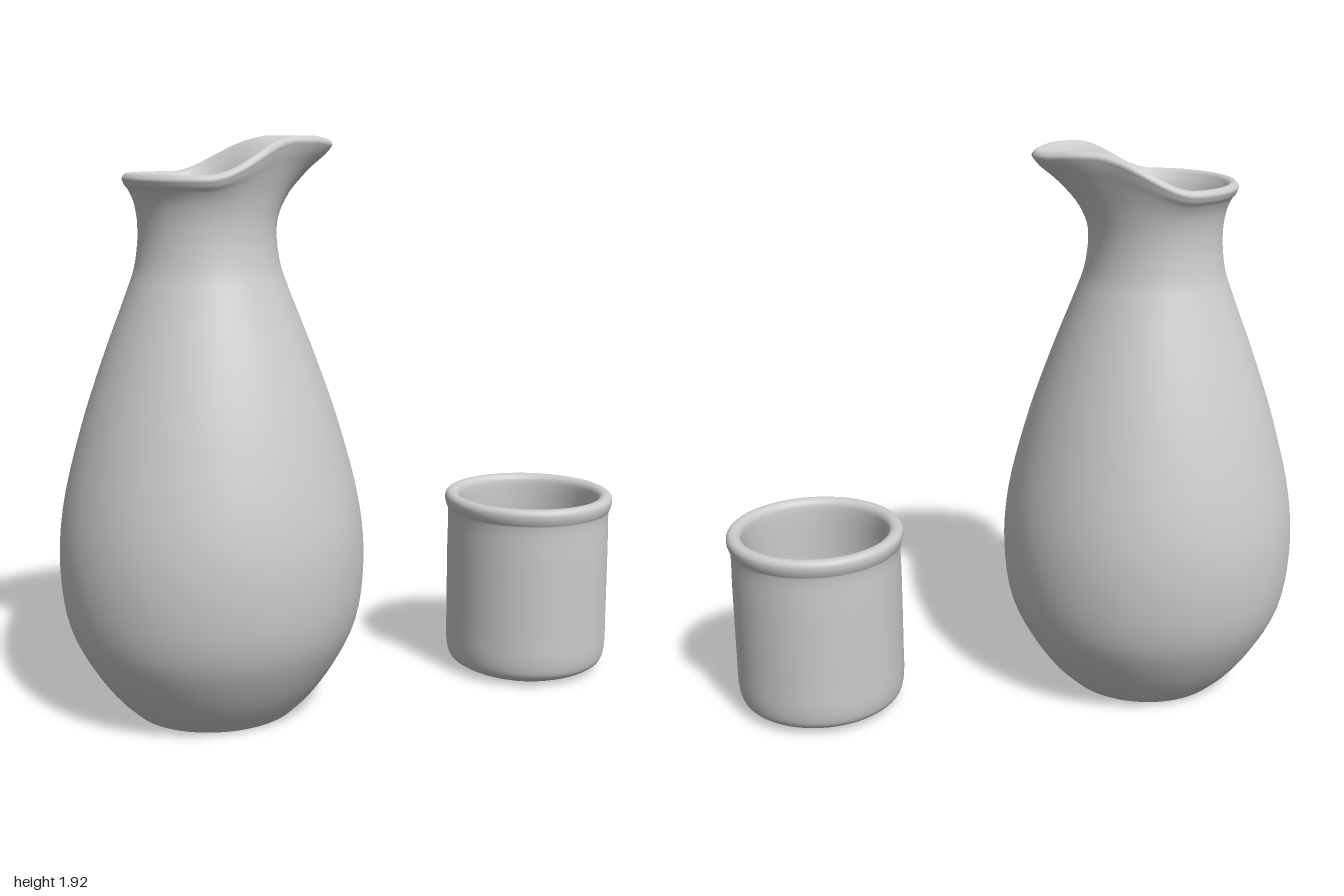
import * as THREE from 'three';

const material = new THREE.MeshStandardMaterial({ color: 0xcccccc, side: THREE.DoubleSide });
const V3 = (x, y, z) => new THREE.Vector3(x, y, z);

// Plan outline of the pouring mouth: a circle pulled out to a spout at angle 0
function mouthPoint(a) {
  const d = Math.abs(Math.atan2(Math.sin(a), Math.cos(a)));
  const r = 0.27 + 0.155 * Math.exp(-Math.pow(d / 0.46, 2.2));
  return new THREE.Vector2(r * Math.cos(a), r * Math.sin(a));
}

// How far the rim rises above its back edge
function rimRise(x) {
  return 0.118 * THREE.MathUtils.smoothstep(x, -0.06, 0.27)
    - 0.012 * THREE.MathUtils.smoothstep(x, 0.33, 0.425);
}

// One spline of (radius, height, mouth weight), outside up, over the lip, inside down
function carafeGeometry(segments = 96) {
  const rows = new THREE.CatmullRomCurve3([
    V3(0.28, 0, 0), V3(0.34, 0.06, 0), V3(0.415, 0.165, 0), V3(0.485, 0.31, 0),
    V3(0.511, 0.5, 0), V3(0.497, 0.7, 0), V3(0.427, 0.98, 0), V3(0.345, 1.22, 0),
    V3(0.268, 1.42, 0), V3(0.24, 1.5, 0), V3(0.227, 1.58, 0), V3(0.225, 1.64, 0.02),
    V3(0.232, 1.7, 0.17), V3(0.25, 1.75, 0.55), V3(0.267, 1.777, 0.95), V3(0.269, 1.793, 1),
    V3(0.258, 1.805, 1), V3(0.242, 1.803, 1), V3(0.228, 1.785, 0.97), V3(0.208, 1.745, 0.62),
    V3(0.19, 1.69, 0.18), V3(0.184, 1.6, 0), V3(0.2, 1.5, 0), V3(0.305, 1.22, 0),
    V3(0.387, 0.98, 0), V3(0.457, 0.7, 0), V3(0.47, 0.5, 0), V3(0.445, 0.31, 0),
    V3(0.36, 0.15, 0), V3(0.25, 0.06, 0), V3(0, 0.05, 0),
  ]).getPoints(120);

  const positions = [], indices = [];
  rows.forEach(({ x: radius, y, z }, i) => {
    const r = Math.max(radius, 0), w = THREE.MathUtils.clamp(z, 0, 1);
    for (let j = 0; j < segments; j++) {
      const a = (j / segments) * Math.PI * 2;
      const edge = mouthPoint(a);
      const tangent = mouthPoint(a + 0.01).sub(mouthPoint(a - 0.01)).normalize();
      const rise = w * rimRise(edge.x);
      // Step in from the mouth outline along its normal, then blend with the round body
      edge.add(new THREE.Vector2(-tangent.y, tangent.x).multiplyScalar(0.27 - r));
      const p = new THREE.Vector2(r * Math.cos(a), r * Math.sin(a));
      if (w > 0) p.lerp(edge, w);
      positions.push(p.x, y + rise, p.y);
      if (i === rows.length - 1) continue;
      const k = i * segments, n = (j + 1) % segments;
      indices.push(k + j, k + segments + j, k + n);
      indices.push(k + n, k + segments + j, k + segments + n);
    }
  });
  const geometry = new THREE.BufferGeometry();
  geometry.setAttribute('position', new THREE.Float32BufferAttribute(positions, 3));
  geometry.setIndex(indices);
  geometry.computeVertexNormals();
  return geometry;
}

// Smooth lathe through a few profile points
function lathe(points, divisions) {
  const curve = new THREE.CatmullRomCurve3(points.map(([r, y]) => V3(r, y, 0)), false, 'centripetal');
  const profile = curve.getPoints(divisions).map(p => new THREE.Vector2(Math.max(p.x, 0), p.y));
  return new THREE.LatheGeometry(profile, 64);
}

function addMesh(parent, name, geometry) {
  const mesh = new THREE.Mesh(geometry, material);
  mesh.name = name;
  parent.add(mesh);
  return mesh;
}

// Flat disc closing the foot
function addBase(parent, name, radius) {
  addMesh(parent, name, new THREE.CircleGeometry(radius, 64)).rotation.x = Math.PI / 2;
}

export function createModel() {
  const model = new THREE.Group();
  model.name = 'carafeAndCup';

  // Carafe with raised spout toward +x
  const carafe = new THREE.Group();
  carafe.name = 'carafe';
  carafe.position.x = -0.486;
  addMesh(carafe, 'carafeBody', carafeGeometry());
  addBase(carafe, 'carafeBase', 0.28);
  model.add(carafe);

  // Straight cup with a rolled lip
  const cup = new THREE.Group();
  cup.name = 'cup';
  cup.position.x = 0.696;
  addMesh(cup, 'cupBody', lathe([
    [0.215, 0], [0.245, 0.013], [0.278, 0.035], [0.29, 0.075], [0.292, 0.2], [0.292, 0.45],
    [0.292, 0.59], [0.297, 0.602], [0.302, 0.62], [0.301, 0.638], [0.29, 0.65],
    [0.268, 0.65], [0.255, 0.638], [0.25, 0.61], [0.25, 0.45], [0.25, 0.15],
    [0.24, 0.08], [0.2, 0.052], [0, 0.05],
  ], 90));
  addBase(cup, 'cupBase', 0.215);
  model.add(cup);

  return model;
}
